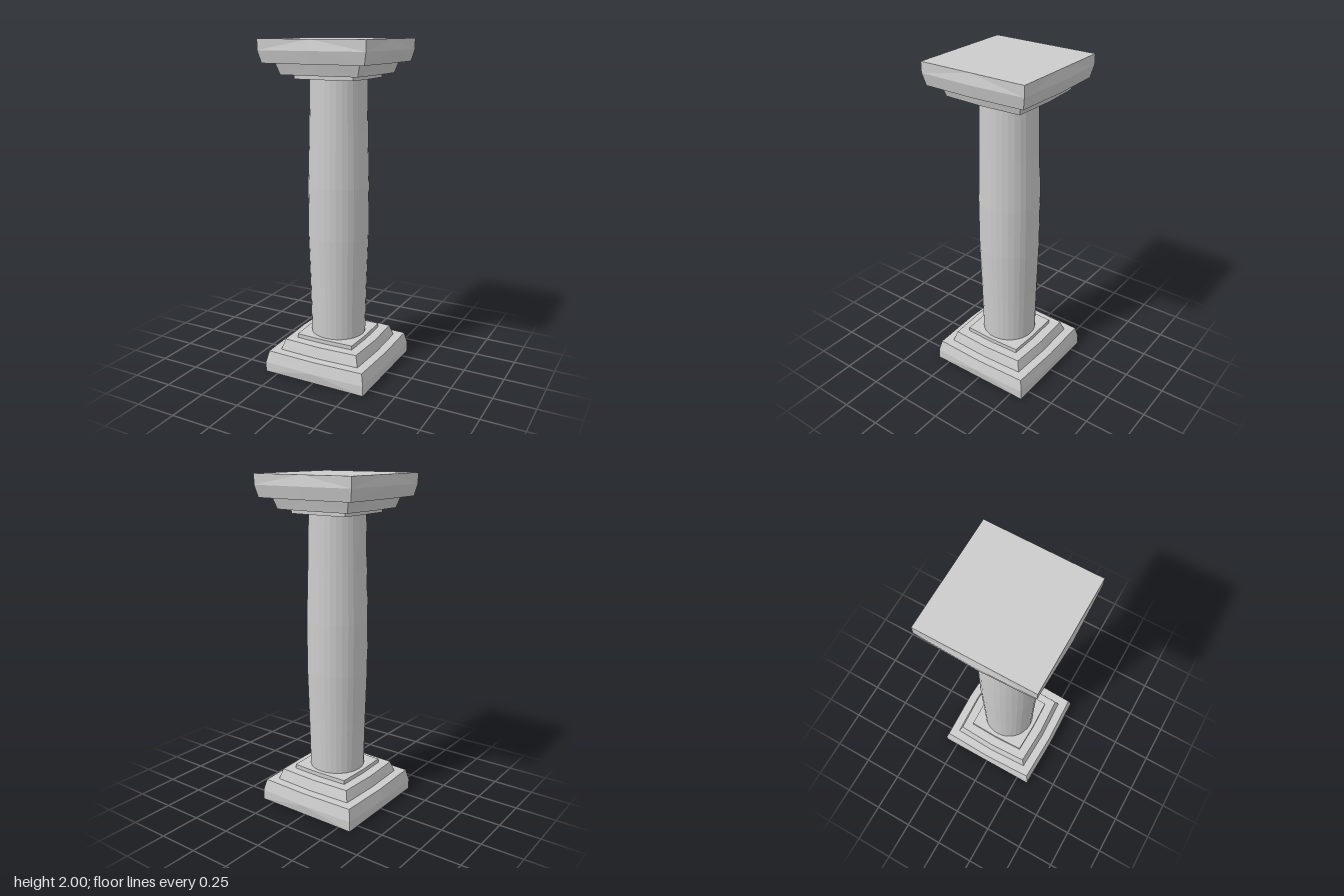
import * as THREE from 'three';

const material = new THREE.MeshStandardMaterial({ color: 0xcccccc, flatShading: true });

// Corners (even) and side midpoints (odd) of a square, counterclockwise from above
const SQUARE = [[1, 1], [1, 0], [1, -1], [0, -1], [-1, -1], [-1, 0], [-1, 1], [0, 1]];

// Square slab lofted through rings of [height, half width at corners, half width at side middles]
function slabGeometry(rings) {
  const points = [];
  for (const [y, corner, middle] of rings) {
    SQUARE.forEach(([x, z], i) => {
      const r = i % 2 ? middle : corner;
      points.push(x * r, y, z * r);
    });
  }
  const last = rings.length - 1;
  points.push(0, rings[0][0], 0, 0, rings[last][0], 0);
  const bottom = rings.length * 8;
  const top = bottom + 1;
  const index = [];
  for (let i = 0; i < 8; i++) {
    const j = (i + 1) % 8;
    for (let k = 0; k < last; k++) {
      const a = k * 8 + i, b = k * 8 + j, c = a + 8, d = b + 8;
      if (i % 2) index.push(a, b, c, b, d, c);
      else index.push(a, b, d, a, d, c);
    }
    index.push(bottom, j, i, top, last * 8 + i, last * 8 + j);
  }
  const geometry = new THREE.BufferGeometry();
  geometry.setAttribute('position', new THREE.Float32BufferAttribute(points, 3));
  geometry.setIndex(index);
  geometry.computeVertexNormals();
  return geometry;
}

// Three stepped tiers, listed from the outer end inwards
const TIERS = {
  Slab: [[0, 0.332, 0.332], [0.062, 0.332, 0.343], [0.132, 0.316, 0.326]],
  Step: [[0.132, 0.262, 0.272], [0.197, 0.242, 0.253]],
  Collar: [[0.197, 0.187, 0.193], [0.222, 0.187, 0.193]],
};

function tierGroup(name, flipped) {
  const group = new THREE.Group();
  group.name = name;
  for (const [part, rings] of Object.entries(TIERS)) {
    const placed = flipped ? rings.map(([y, c, m]) => [2 - y, c, m]).reverse() : rings;
    const mesh = new THREE.Mesh(slabGeometry(placed), material);
    mesh.name = name + part;
    group.add(mesh);
  }
  return group;
}

export function createModel() {
  const column = new THREE.Group();
  column.name = 'column';
  column.add(tierGroup('base', false), tierGroup('capital', true));

  // Round shaft, swelling towards the middle
  const radii = [0.167, 0.174, 0.183, 0.183, 0.174, 0.167];
  const profile = radii.map((r, i) => new THREE.Vector2(r, 0.222 + (1.556 * i) / 5));
  const shaft = new THREE.Mesh(new THREE.LatheGeometry(profile, 32), material);
  shaft.name = 'shaft';
  column.add(shaft);

  return column;
}
